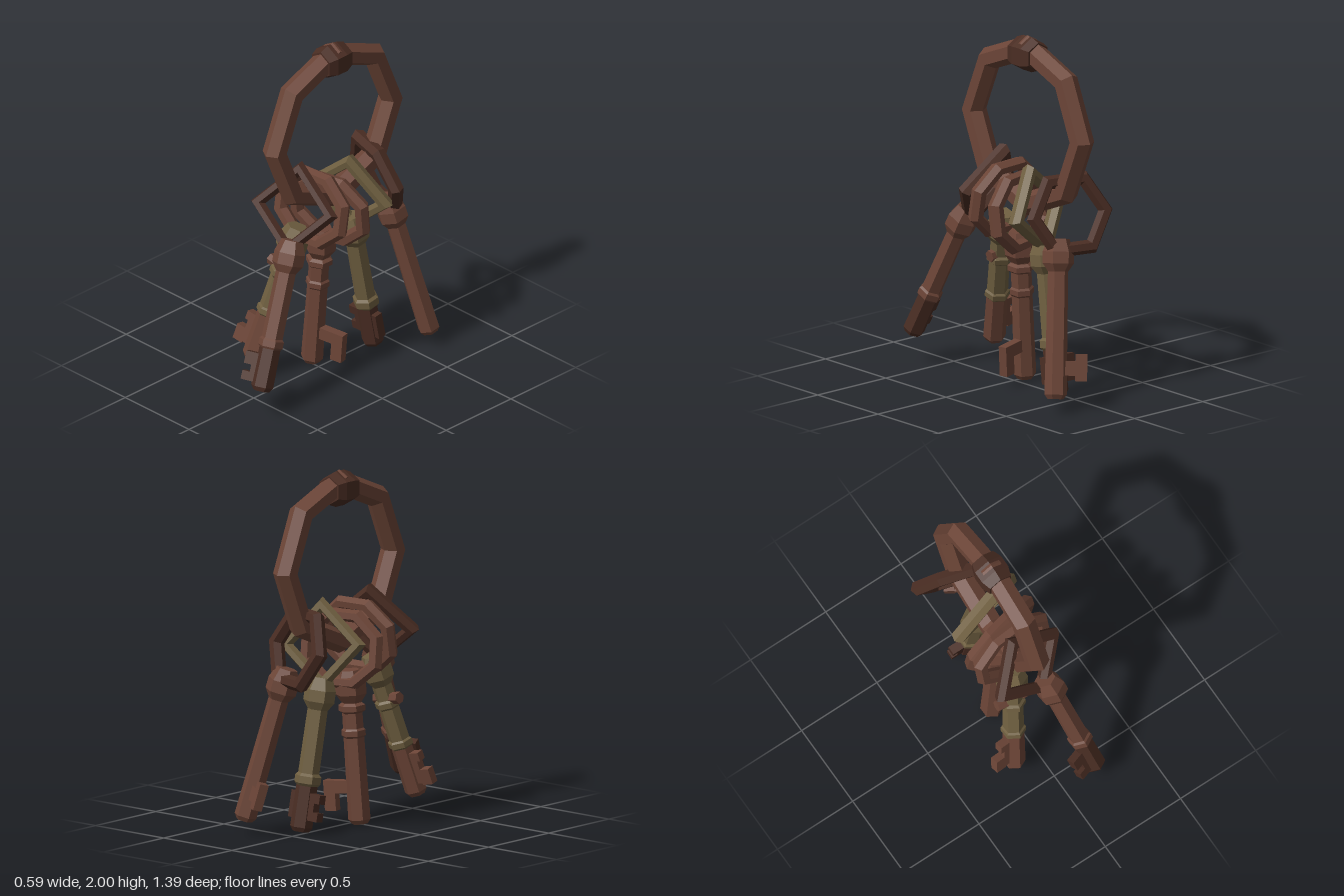
import * as THREE from 'three';

const paint = (name, color) => {
  const m = new THREE.MeshStandardMaterial({ color, flatShading: true });
  m.name = name;
  return m;
};
const V = (a) => new THREE.Vector3(...a);

export function createModel() {
  const brown = paint('rustyBrown', 0x6c4537);
  const dark = paint('darkBrown', 0x4a2d23);
  const olive = paint('agedBrass', 0x6f5f40);
  const model = new THREE.Group();

  const add = (parent, name, geometry, material) => {
    const mesh = new THREE.Mesh(geometry, material);
    mesh.name = name;
    parent.add(mesh);
    return mesh;
  };
  // Six-sided turned piece, profile listed as [radius, height] from the bottom up
  const turned = (profile) =>
    new THREE.LatheGeometry(profile.map(([r, y]) => new THREE.Vector2(r, y)), 6);

  // Large carrying ring, standing in the yz plane
  const ring = add(model, 'carryingRing', new THREE.TorusGeometry(0.447, 0.069, 6, 8), brown);
  ring.position.set(-0.003, 1.49, -0.112);
  ring.rotation.y = Math.PI / 2;

  // Barrel-shaped clasp on top of the carrying ring
  const clasp = add(model, 'ringClasp',
    turned([[0, -0.088], [0.08, -0.088], [0.1, -0.035], [0.1, 0.035], [0.08, 0.088], [0, 0.088]]), dark);
  clasp.position.set(-0.003, 1.9, -0.108);
  clasp.rotation.x = Math.PI / 2;

  // Small polygonal links: u points sideways and v upwards within the link's plane
  const links = [
    { mat: dark, at: [0.02, 1.09, 0.205], u: [0.49, 0.03, -0.16], v: [-0.06, 0.37, -0.17], sides: 4, R: 0.225 },
    { mat: brown, at: [0.015, 1.045, 0.065], u: [0.5, 0, -0.04], v: [0, 0.4, -0.07], sides: 8, R: 0.23, turn: Math.PI / 8, squash: 0.87 },
    { mat: brown, at: [0.02, 0.99, -0.065], u: [0.5, 0, -0.12], v: [0, 0.4, 0.05], sides: 8, R: 0.23, turn: Math.PI / 8, squash: 0.87 },
    { mat: olive, at: [0.025, 1.035, -0.22], u: [0.49, -0.04, -0.15], v: [0, 0.4, 0.08], sides: 4, R: 0.22 },
    { mat: dark, at: [-0.005, 1.053, -0.455], u: [0.46, 0, 0.13], v: [0, 0.4, 0.12], sides: 6, R: 0.218 },
  ];
  links.forEach(({ mat, at, u, v, sides, R, turn = 0, squash = 1 }, i) => {
    const geometry = new THREE.TorusGeometry(R, 0.044, 6, sides);
    geometry.rotateZ(turn).scale(1, squash, 1);
    const x = V(u).normalize();
    const z = x.clone().cross(V(v)).normalize();
    const y = z.clone().cross(x);
    const link = add(model, 'link' + (i + 1), geometry, mat);
    link.quaternion.setFromRotationMatrix(new THREE.Matrix4().makeBasis(x, y, z));
    link.position.copy(V(at));
  });

  // Keys: heights run from the tip upwards; bit boxes are [x0, x1, y0, y1]
  const keys = [
    { top: [0.085, 0.95, 0.285], tip: [0.19, 0.178, 0.63], shaft: brown, end: dark, split: 0.25,
      collars: [[0.27, 0.07, 0.035, brown]], yaw: 0.3,
      bit: [[-0.08, 0, 0.04, 0.2], [-0.125, -0.07, 0.04, 0.09], [-0.125, -0.07, 0.13, 0.2]] },
    { top: [-0.03, 0.93, 0.13], tip: [-0.165, 0.13, 0.352], shaft: olive, end: brown, split: 0.29,
      collars: [[0.31, 0.07, 0.03, olive], [0.55, 0.072, 0.03, olive]], yaw: 0.15,
      bit: [[-0.09, 0, 0.07, 0.25], [-0.145, -0.08, 0.06, 0.15], [-0.11, -0.08, 0.2, 0.25]], nub: 0.58 },
    { top: [-0.01, 0.87, -0.035], tip: [-0.068, 0.01, -0.015], shaft: brown, end: brown, split: 0.3,
      collars: [[0.51, 0.068, 0.03, brown], [0.65, 0.076, 0.03, brown]], yaw: 0.22,
      bit: [[0, 0.2, 0.17, 0.24], [0.13, 0.2, 0.07, 0.17]] },
    { top: [0.0, 0.86, -0.25], tip: [0.03, 0.012, -0.395], shaft: olive, end: dark, split: 0.27,
      collars: [[0.29, 0.074, 0.04, olive]], yaw: 0,
      bit: [[-0.09, 0.085, 0.07, 0.22], [-0.125, -0.09, 0.07, 0.12], [-0.125, -0.09, 0.17, 0.22]] },
    { top: [0.075, 0.93, -0.455], tip: [0.245, 0.08, -0.62], shaft: brown, end: brown, split: 0.3,
      collars: [], yaw: -0.55,
      bit: [[-0.12, 0, 0.13, 0.21], [-0.17, -0.11, 0.1, 0.25]] },
  ];
  keys.forEach(({ top, tip, shaft, end, split, collars, bit, nub, yaw }, i) => {
    const key = new THREE.Group();
    key.name = 'key' + (i + 1);
    const y = V(top).sub(V(tip));
    const L = y.length();
    y.normalize();
    const z = new THREE.Vector3(1, 0, 0).cross(y).normalize();
    const x = y.clone().cross(z);
    key.quaternion.setFromRotationMatrix(new THREE.Matrix4().makeBasis(x, y, z));
    key.position.copy(V(tip));
    model.add(key);

    // Shaft flowing into the swollen head
    add(key, 'shaftAndHead', turned([[0, split], [0.06, split], [0.057, L - 0.18], [0.088, L - 0.135],
      [0.088, L - 0.07], [0.06, L], [0, L]]), shaft);
    // Lower shaft with a chamfered tip
    add(key, 'tip', turned([[0, 0], [0.045, 0], [0.063, 0.025], [0.06, split], [0, split]]), end);
    // Raised bands around the shaft
    collars.forEach(([h, r, half, mat]) => add(key, 'collar', turned([[0.055, h - half],
      [r, h - half * 0.5], [r, h + half * 0.5], [0.055, h + half]]), mat));
    // Toothed bit
    const teeth = new THREE.Group();
    teeth.name = 'bit';
    teeth.rotation.y = yaw;
    key.add(teeth);
    bit.forEach(([x0, x1, y0, y1], n) => {
      const box = new THREE.BoxGeometry(x1 - x0, y1 - y0, 0.05);
      add(teeth, n ? 'tooth' : 'bitPlate', box, end).position.set((x0 + x1) / 2, (y0 + y1) / 2, 0);
    });
    // Peg passing through the shaft below the head
    if (nub) {
      const peg = add(key, 'peg', new THREE.CylinderGeometry(0.034, 0.034, 0.18, 6), brown);
      peg.rotation.z = Math.PI / 2;
      peg.position.set(-0.015, nub, 0);
    }
  });
  return model;
}
